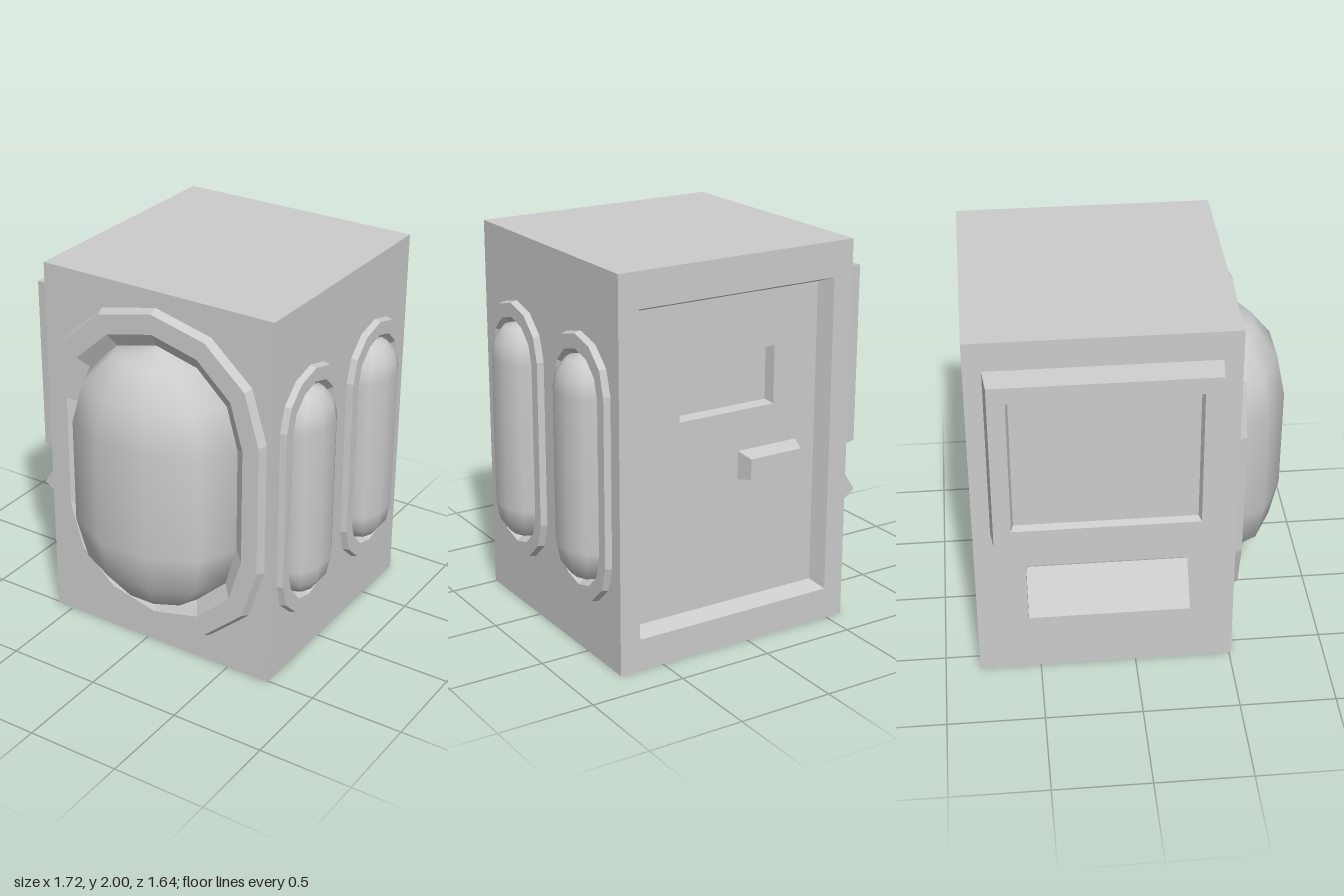
import * as THREE from 'three';

const flat = new THREE.MeshStandardMaterial({ color: 0xcccccc, flatShading: true, side: THREE.DoubleSide });
const smooth = new THREE.MeshStandardMaterial({ color: 0xcccccc, side: THREE.DoubleSide });

// Body extents
const X0 = -0.595, X1 = 0.74, Z0 = -0.82, Z1 = 0.51, H = 2;

function named(name, geometry, material = flat) {
  const mesh = new THREE.Mesh(geometry, material);
  mesh.name = name;
  return mesh;
}

// Closed outlines, counter-clockwise, at depth z
function rect(x0, x1, y0, y1, z = 0) {
  return [[x0, y0], [x1, y0], [x1, y1], [x0, y1]].map(([x, y]) => new THREE.Vector3(x, y, z));
}

function inset(loop, d, z) {
  return rect(loop[0].x + d, loop[2].x - d, loop[0].y + d, loop[2].y - d, z);
}

// Two half ellipses joined by straight sides of half length s
function oval(cx, cy, rx, ry, s, z = 0) {
  const points = [];
  for (const half of [0, 1]) {
    for (let i = 0; i <= 6; i++) {
      const a = half * Math.PI + (i * Math.PI) / 6;
      points.push(new THREE.Vector3(cx + rx * Math.cos(a), cy + ry * Math.sin(a) + (half ? -s : s), z));
    }
  }
  return points;
}

// Joins successive outlines with faces, optionally closing the last one
function loft(loops, cap = false) {
  const out = [];
  const n = loops[0].length;
  for (let k = 0; k + 1 < loops.length; k++) {
    for (let i = 0; i < n; i++) {
      const j = (i + 1) % n, a = loops[k], b = loops[k + 1];
      out.push(a[i], a[j], b[j], a[i], b[j], b[i]);
    }
  }
  if (cap) {
    const last = loops[loops.length - 1];
    for (let i = 1; i + 1 < n; i++) out.push(last[0], last[i], last[i + 1]);
  }
  const geometry = new THREE.BufferGeometry().setFromPoints(out);
  geometry.computeVertexNormals();
  return geometry;
}

// One flat wall with openings
function wall(name, x0, x1, holes) {
  const shape = new THREE.Shape(rect(x0, x1, 0, H).map((p) => new THREE.Vector2(p.x, p.y)));
  for (const hole of holes) shape.holes.push(new THREE.Path(hole.map((p) => new THREE.Vector2(p.x, p.y))));
  return named(name, new THREE.ShapeGeometry(shape));
}

// Bulging window: bevelled ring and a stretched dome. Each size is [rx, ry, s]
function bubbleWindow(name, cx, cy, { outer, lip, inner, glass, ringDepth, domeDepth }) {
  const group = new THREE.Group();
  group.name = name;
  group.add(named('windowRing', loft([
    oval(cx, cy, ...outer),
    oval(cx, cy, ...lip, ringDepth),
    oval(cx, cy, ...inner, ringDepth),
    oval(cx, cy, ...glass, -0.005),
  ])));
  const [rx, ry, s] = glass;
  const profile = [];
  for (const side of [-1, 1]) {
    for (let i = 0; i <= 3; i++) {
      const a = ((side < 0 ? i - 3 : i) * Math.PI) / 6;
      profile.push(new THREE.Vector2(Math.max(0, Math.cos(a)), ry * Math.sin(a) + side * s));
    }
  }
  const dome = new THREE.LatheGeometry(profile, 5, -Math.PI / 2, Math.PI).scale(rx, 1, domeDepth);
  dome.translate(cx, cy, -0.005);
  group.add(named('windowDome', dome, smooth));
  return group;
}

// Profile in x and y, drawn out along z
function prism(name, points, z0, z1) {
  const shape = new THREE.Shape(points.map(([x, y]) => new THREE.Vector2(x, y)));
  const geometry = new THREE.ExtrudeGeometry(shape, { depth: z1 - z0, bevelEnabled: false });
  return named(name, geometry.translate(0, 0, z0));
}

function side(name, x, z, turn) {
  const group = new THREE.Group();
  group.name = name;
  group.position.set(x, 0, z);
  group.rotation.y = turn;
  return group;
}

export function createModel() {
  const model = new THREE.Group();
  model.name = 'cabin';

  // Front with the large window
  const big = {
    outer: [0.635, 0.56, 0.355], lip: [0.615, 0.545, 0.35], inner: [0.525, 0.48, 0.31],
    glass: [0.468, 0.435, 0.28], ringDepth: 0.042, domeDepth: 0.33,
  };
  const front = side('front', 0, Z1, 0);
  front.add(wall('frontWall', X0, X1, [oval(0.075, 1, ...big.outer)]));
  front.add(bubbleWindow('frontWindow', 0.075, 1, big));

  // Left side with two narrow windows
  const small = {
    outer: [0.27, 0.255, 0.432], lip: [0.262, 0.248, 0.43], inner: [0.205, 0.2, 0.405],
    glass: [0.19, 0.19, 0.387], ringDepth: 0.034, domeDepth: 0.131,
  };
  const left = side('leftSide', X1, 0, Math.PI / 2);
  const centres = [-0.17, 0.475];
  left.add(wall('leftWall', -Z1, -Z0, centres.map((c) => oval(c, 0.968, ...small.outer))));
  for (const c of centres) left.add(bubbleWindow('sideWindow', c, 0.968, small));

  // Back with a sunken door, its recessed panel and handle
  const back = side('back', 0, Z0, Math.PI);
  const doorway = rect(-0.63, 0.485, 0.165, 1.82);
  const panel = rect(-0.353, 0.198, 1.2, 1.5, -0.088);
  back.add(wall('backWall', -X1, -X0, [doorway]));
  back.add(named('door', loft([doorway, inset(doorway, 0.033, -0.088), panel, inset(panel, 0.01, -0.148)], true)));
  const handleBase = rect(-0.01, 0.335, 0.84, 0.99, -0.088);
  back.add(named('doorHandle', loft([handleBase, inset(handleBase, 0.022, -0.003)], true)));

  // Right side with a framed screen
  const right = side('rightSide', X0, 0, -Math.PI / 2);
  const base = rect(-0.73, 0.415, 0.89, 1.845);
  const face = inset(base, 0.014, 0.13);
  const edge = inset(face, 0.088, 0.13);
  right.add(wall('rightWall', Z0, Z1, [base, rect(-0.265, -0.05, 0.476, 0.667)]));
  right.add(named('screen', loft([base, face, edge, inset(edge, 0.012, 0.092)], true)));

  // Tilted control panel on a bracket
  const bracket = [[-0.595, 0.476], [-0.595, 0.667], [-0.66, 0.66], [-0.69, 0.68], [-0.78, 0.56], [-0.722, 0.487]];
  const plate = [[-0.722, 0.767], [-0.865, 0.556], [-0.807, 0.513], [-0.664, 0.725]];
  model.add(prism('controlBracket', bracket, -0.265, -0.05));
  model.add(prism('controlPanel', plate, -0.56, 0.245));

  // Roof; the underside is open
  const roof = new THREE.PlaneGeometry(X1 - X0, Z1 - Z0).rotateX(-Math.PI / 2);
  roof.translate((X0 + X1) / 2, H, (Z0 + Z1) / 2);
  model.add(named('roof', roof), front, left, back, right);
  return model;
}
